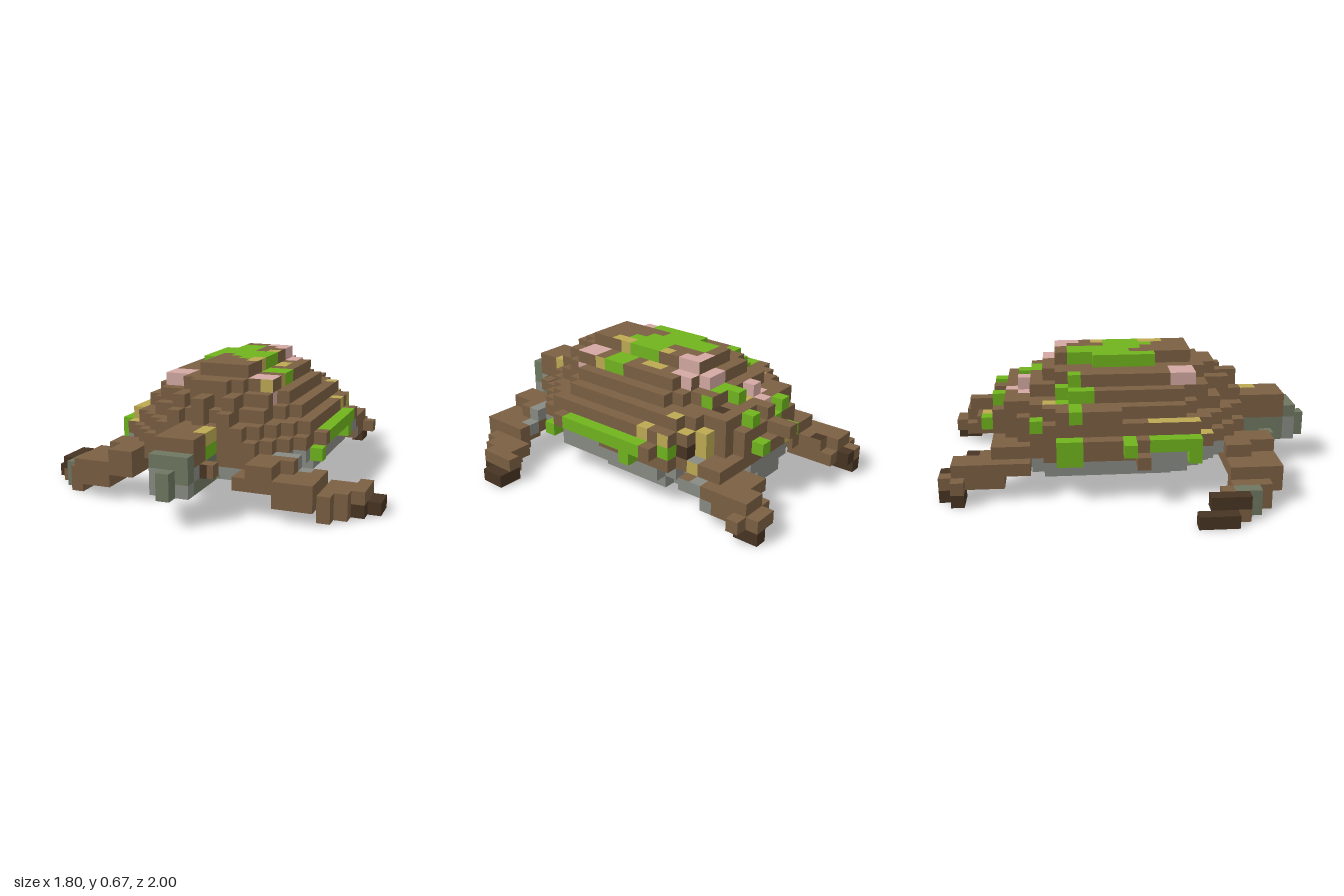
import * as THREE from 'three';
import { mergeGeometries } from 'three/addons/utils/BufferGeometryUtils.js';

const U = 1 / 15; // edge of one cube
const COLORS = {
  brown: 0x7b5f43, darkBrown: 0x473423, grey: 0x888b83, mossGrey: 0x6e7761,
  green: 0x70b31e, ochre: 0xbca953, pink: 0xd3a8a2,
};
const SIDES = {
  left: [1, 0, 0], right: [-1, 0, 0], top: [0, 1, 0],
  bottom: [0, -1, 0], front: [0, 0, 1], back: [0, 0, -1],
};

export function createModel() {
  const cells = new Map(); // 'x,y,z' -> { part, color, faces }
  const key = (x, y, z) => `${x},${y},${z}`;
  let part = 'shell';

  // Fill a block of cubes, all bounds inclusive
  const fill = (color, x0, x1, y0, y1, z0, z1) => {
    for (let x = x0; x <= x1; x++)
      for (let y = y0; y <= y1; y++)
        for (let z = z0; z <= z1; z++) cells.set(key(x, y, z), { part, color, faces: {} });
  };
  // One slab with stepped corners at the rear and front
  const slab = (color, y, x0, x1, z0, z1, rear, front) => {
    const mid = (x0 + x1) / 2, half = (x1 - x0) / 2;
    for (let x = x0; x <= x1; x++) {
      const edge = half - Math.abs(x - mid);
      fill(color, x, x, y, y, z0 + Math.max(0, rear - edge), z1 - Math.max(0, front - edge));
    }
  };
  // Outermost cube met from the left (z, y), top (x, z) or front (x, y)
  const outermost = (side, a, b) => {
    for (let d = 30; d > -14; d--) {
      const at = { left: [d, b, a], top: [a, d, b], front: [a, b, d] }[side];
      if (cells.has(key(...at))) return cells.get(key(...at));
    }
  };
  const eachOutermost = (side, a0, a1, b0, b1, change) => {
    for (let a = a0; a <= a1; a++)
      for (let b = b0; b <= b1; b++) {
        const cell = outermost(side, a, b);
        if (cell) change(cell);
      }
  };
  // Colour whole top cubes, or only the visible face of the outermost ones
  const paintCubes = (color, ...area) => eachOutermost('top', ...area, (cell) => { cell.color = color; });
  const paintFaces = (side, color, ...area) =>
    eachOutermost(side, ...area, (cell) => { cell.faces[side] = color; });
  // Add a cube to the end of a row if the layer below carries it
  const knob = (x, y, step) => {
    let z = step < 0 ? 3 : 23;
    while (!cells.has(key(x, y, z - step))) z -= step;
    if (cells.has(key(x, y - 1, z)) && !cells.has(key(x, y, z))) fill('brown', x, x, y, y, z, z);
  };

  // Belly plates
  part = 'belly';
  slab('grey', 0, -2, 1, 12, 16, 1, 1);
  slab('grey', 1, -5, 5, 4, 20, 4, 3);
  fill('grey', 6, 6, 1, 1, 9, 14);
  slab('grey', 2, -7, 7, 4, 22, 5, 4);
  [['darkBrown', 3, 4, 13, 15], ['darkBrown', 0, 2, 9, 10], ['darkBrown', 3, 3, 11, 12],
    ['mossGrey', 2, 3, 10, 10], ['mossGrey', -1, 0, 20, 20]]
    .forEach(([c, x0, x1, z0, z1]) => fill(c, x0, x1, 1, 1, z0, z1));

  // Domed shell
  part = 'shell';
  slab('brown', 3, -7, 7, 4, 23, 4, 3);
  for (const s of [-7, 7]) fill('grey', s, s, 3, 3, 15, 20);
  for (const s of [-6, 6]) fill('grey', s, s, 3, 3, 21, 21);
  fill('grey', -2, -2, 3, 3, 23, 23);
  slab('brown', 4, -7, 7, 4, 23, 4, 3);
  slab('brown', 5, -7, 7, 4, 23, 4, 4);
  slab('brown', 6, -6, 6, 5, 22, 3, 4);
  fill('brown', -7, -7, 6, 6, 9, 13);
  slab('brown', 7, -5, 5, 7, 21, 3, 3);
  fill('brown', 0, 0, 7, 7, 22, 22);
  slab('brown', 8, -4, 4, 8, 19, 2, 0);
  fill('brown', -2, 2, 8, 8, 20, 20);
  fill('brown', -1, 1, 8, 8, 21, 21);
  fill('brown', -1, 2, 9, 9, 9, 19);
  fill('brown', -2, -2, 9, 9, 12, 16);

  // Knobs along the stepped rear and front
  for (let y = 5; y <= 7; y++)
    for (let x = -4; x <= 4; x++) {
      if ((x + y) % 2 === 0) knob(x, y, -1);
      if (x % 2 === 0 && y > 5) knob(x, y, 1);
    }
  fill('brown', 0, 0, 5, 5, 2, 3);
  fill('brown', -2, 2, 4, 4, 3, 3);

  // Rim along both sides
  part = 'rim';
  fill('brown', -8, -8, 4, 4, 9, 19);
  fill('green', -8, -8, 3, 4, 9, 10);
  fill('green', -9, -8, 4, 4, 14, 14);
  fill('brown', -9, -8, 3, 3, 15, 15);
  fill('green', -8, -8, 4, 4, 16, 19);
  fill('green', -8, -8, 3, 3, 19, 19);
  fill('brown', 8, 8, 4, 4, 9, 18);
  fill('green', 8, 8, 4, 4, 10, 17);
  fill('green', 8, 8, 3, 3, 19, 19);
  fill('green', 8, 8, 3, 3, 11, 11);
  fill('green', 7, 7, 4, 4, 8, 9);
  fill('darkBrown', 6, 6, 4, 4, 7, 7);
  fill('ochre', 5, 5, 4, 4, 6, 6);

  // Head
  part = 'head';
  fill('mossGrey', -1, 1, 2, 4, 24, 28);
  fill('grey', -1, -1, 2, 3, 28, 28);
  fill('grey', 1, 1, 2, 2, 28, 28);
  fill('mossGrey', 0, 0, 2, 3, 29, 29);
  fill('brown', -1, 1, 4, 5, 24, 27);
  fill('green', 1, 1, 4, 4, 24, 25);
  fill('mossGrey', -2, -2, 2, 2, 26, 26);
  fill('brown', 2, 2, 3, 3, 26, 26);

  // Front flippers, sweeping out and down to dark tips
  for (const s of [1, -1]) {
    part = s > 0 ? 'leftFrontFlipper' : 'rightFrontFlipper';
    const limb = (c, x0, x1, ...r) => fill(c, Math.min(s * x0, s * x1), Math.max(s * x0, s * x1), ...r);
    limb('brown', 5, 7, 3, 3, 22, 23);
    limb('brown', 5, 6, 3, 3, 24, 25);
    limb('brown', 5, 9, 2, 2, 22, 25);
    limb('brown', 7, 9, 1, 1, 23, 25);
    limb('brown', 9, 11, 1, 1, 22, 23);
    limb('brown', 10, 10, 0, 1, 22, 24);
    limb('brown', 11, 11, 0, 1, 21, 23);
    if (s > 0) {
      limb('brown', 4, 4, 2, 2, 23, 25);
      limb('grey', 6, 7, 3, 3, 22, 22);
      limb('grey', 8, 8, 2, 2, 22, 22);
      limb('brown', 10, 10, 1, 1, 21, 21);
      limb('brown', 12, 12, 1, 1, 20, 22);
      limb('darkBrown', 12, 12, 0, 0, 20, 22);
      limb('darkBrown', 13, 13, 0, 0, 20, 21);
    } else {
      limb('mossGrey', 11, 11, 0, 1, 22, 23);
      limb('darkBrown', 12, 12, 1, 1, 20, 22);
      limb('brown', 12, 12, 0, 0, 21, 22);
      limb('darkBrown', 13, 13, 0, 0, 19, 21);
    }

    // Rear flippers
    part = s > 0 ? 'leftRearFlipper' : 'rightRearFlipper';
    limb('brown', 4, 7, 2, 2, 4, 6);
    limb('brown', 4, 6, 3, 3, 4, 6);
    limb('brown', 5, 7, 1, 2, 2, 4);
    limb('brown', 5, 8, 1, 1, 1, 1);
    limb('brown', 6, 7, 2, 2, 1, 1);
    limb('brown', 6, 7, 1, 1, 0, 0);
    limb('darkBrown', 7, s > 0 ? 7 : 8, 0, 0, 1, 1);
    limb('darkBrown', 7, 7, 0, 0, 0, 0);
    if (s > 0) limb('brown', 4, 4, 2, 2, 2, 3);
    else limb('darkBrown', 6, 6, 1, 1, 0, 0);
  }

  // Growth patches covering whole cubes: colour, x range, z range
  [['green', -1, 0, 10, 14], ['green', -2, -2, 12, 16], ['green', 1, 1, 13, 14],
    ['green', -5, -4, 9, 10], ['green', -5, -5, 11, 11], ['green', -7, -6, 10, 10],
    ['green', 1, 1, 6, 6], ['green', -6, -6, 7, 7],
    ['green', -2, -2, 3, 4], ['green', -1, -1, 4, 4], ['green', 2, 2, 3, 4],
    ['pink', 1, 2, 8, 8], ['pink', -4, -3, 18, 19], ['pink', -2, -1, 6, 6], ['pink', -1, -1, 5, 5],
    ['ochre', -5, -5, 8, 8], ['ochre', 0, 0, 6, 6], ['ochre', -1, -1, 3, 3],
    ['ochre', 5, 5, 6, 6], ['darkBrown', 3, 3, 6, 6]]
    .forEach((p) => paintCubes(...p));

  // Painted faces: on top by x and z, on the left by z and y, in front by x and y
  [['green', 2, 2, 13, 14], ['green', 0, 4, 15, 15], ['green', 1, 4, 16, 16],
    ['green', 1, 2, 7, 7], ['pink', 2, 3, 10, 10], ['pink', 1, 3, 9, 9], ['pink', 3, 4, 18, 19],
    ['ochre', 2, 3, 12, 12], ['ochre', 3, 3, 13, 13], ['ochre', 2, 2, 16, 17],
    ['ochre', 6, 6, 7, 8], ['ochre', 7, 7, 10, 10], ['ochre', -7, -7, 16, 20],
    ['ochre', 1, 1, 24, 25], ['grey', 7, 7, 5, 5], ['grey', 6, 6, 6, 6], ['darkBrown', -5, -5, 2, 2]]
    .forEach((p) => paintFaces('top', ...p));
  [['ochre', 16, 16, 9, 9], ['green', 13, 15, 9, 9], ['pink', 9, 10, 9, 9],
    ['ochre', 17, 17, 8, 8], ['green', 15, 16, 8, 8], ['pink', 8, 9, 8, 8],
    ['pink', 19, 19, 7, 7], ['green', 6, 7, 7, 7], ['ochre', 10, 10, 5, 5],
    ['ochre', 8, 8, 5, 5], ['ochre', 24, 25, 5, 5], ['ochre', 6, 6, 3, 4],
    ['grey', 27, 27, 3, 3], ['grey', 4, 6, 1, 1], ['grey', 5, 6, 2, 2]]
    .forEach((p) => paintFaces('left', ...p));
  [['green', -2, -2, 9, 9], ['ochre', 4, 4, 8, 8], ['ochre', -7, -7, 5, 5]]
    .forEach((p) => paintFaces('front', ...p));

  // One square per cube side, placed only where the side is open
  const squares = Object.entries(SIDES).map(([side, d]) => {
    const n = new THREE.Vector3(...d);
    const face = new THREE.PlaneGeometry(U, U);
    face.applyQuaternion(new THREE.Quaternion().setFromUnitVectors(new THREE.Vector3(0, 0, 1), n));
    face.translate(n.x * U / 2, n.y * U / 2, n.z * U / 2);
    return { side, d, face };
  });
  const parts = {};
  for (const [k, cell] of cells) {
    const [x, y, z] = k.split(',').map(Number);
    for (const { side, d, face } of squares) {
      if (cells.has(key(x + d[0], y + d[1], z + d[2]))) continue;
      const byColor = (parts[cell.part] ??= {});
      (byColor[cell.faces[side] ?? cell.color] ??= []).push(
        face.clone().translate(x * U, (y + 0.5) * U, (z + 0.5) * U - 1));
    }
  }

  const model = new THREE.Group();
  model.name = 'turtle';
  const materials = {};
  for (const [name, color] of Object.entries(COLORS)) {
    materials[name] = new THREE.MeshStandardMaterial({ color });
    materials[name].name = name;
  }
  for (const [name, byColor] of Object.entries(parts)) {
    const group = new THREE.Group();
    group.name = name;
    for (const [color, faces] of Object.entries(byColor)) {
      const mesh = new THREE.Mesh(mergeGeometries(faces), materials[color]);
      mesh.name = `${name} ${color}`;
      group.add(mesh);
    }
    model.add(group);
  }
  // Dark eye
  const eye = new THREE.Mesh(new THREE.BoxGeometry(U / 2, U, 0.006), materials.darkBrown);
  eye.name = 'eye';
  eye.position.set(1.75 * U, 3.5 * U, 27 * U - 1 + 0.003);
  model.add(eye);
  return model;
}
